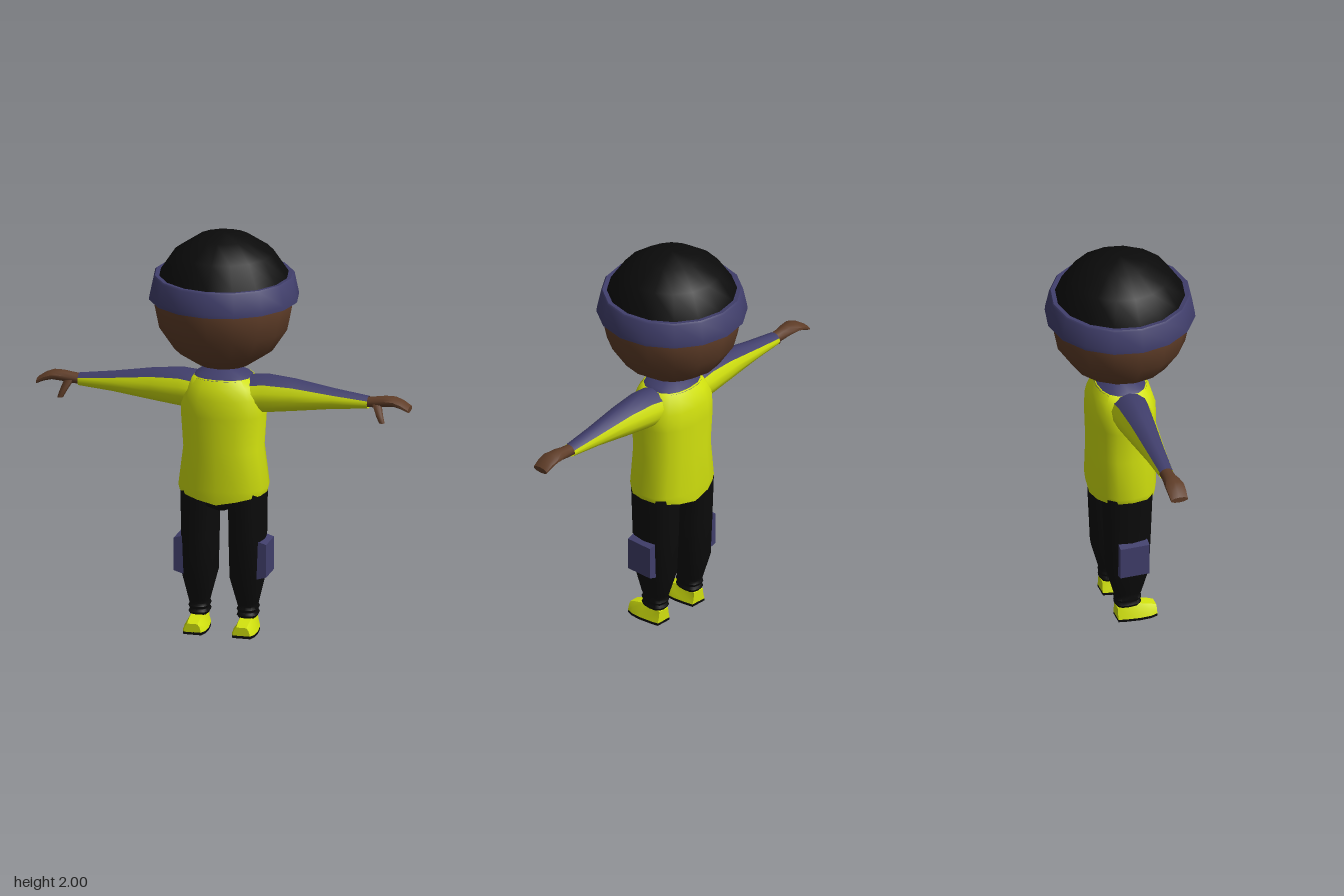
import * as THREE from 'three';
import { toCreasedNormals } from 'three/addons/utils/BufferGeometryUtils.js';

const mat = (color) => new THREE.MeshStandardMaterial({ color, side: THREE.DoubleSide });
const V = (x, y, z) => new THREE.Vector3(x, y, z);

// Skin a list of equal-sized rings; closed lofts get end caps
function loft(rings, closed = true, crease = 0.9) {
  const n = rings[0].length, pos = [], idx = [];
  rings.flat().forEach((p) => pos.push(p.x, p.y, p.z));
  for (let k = 0; k < rings.length - 1; k++) {
    for (let i = 0; i < (closed ? n : n - 1); i++) {
      const a = k * n + i, b = k * n + (i + 1) % n;
      idx.push(a, b, a + n, b, b + n, a + n);
    }
  }
  if (closed) {
    [0, rings.length - 1].forEach((k) => {
      const c = rings[k].reduce((s, p) => s.add(p), V(0, 0, 0)).divideScalar(n);
      const ci = pos.length / 3;
      pos.push(c.x, c.y, c.z);
      for (let i = 0; i < n; i++) {
        const a = k * n + i, b = k * n + (i + 1) % n;
        if (k) idx.push(a, b, ci); else idx.push(b, a, ci);
      }
    });
  }
  const g = new THREE.BufferGeometry();
  g.setAttribute('position', new THREE.Float32BufferAttribute(pos, 3));
  g.setIndex(idx);
  return toCreasedNormals(g, crease);
}

// Horizontal rounded-square ring
function ringY(y, cx, cz, rx, rz, n = 12, p = 2.4) {
  const f = (v) => Math.sign(v) * Math.abs(v) ** (2 / p);
  return Array.from({ length: n }, (_, i) => {
    const a = (i / n) * Math.PI * 2;
    return V(cx + rx * f(Math.cos(a)), y, cz - rz * f(Math.sin(a)));
  });
}

// Vertical ring (or arc) across the x axis, angle measured from the top
function arcX(x, cy, ry, rz, from, to, n) {
  return Array.from({ length: n }, (_, i) => {
    const a = from + ((to - from) * i) / (n - 1);
    return V(x, cy + ry * Math.cos(a), rz * Math.sin(a));
  });
}

// Mirror in x and restore the winding
function mirror(geo) {
  const g = geo.clone();
  for (const name of ['position', 'normal']) {
    const at = g.attributes[name];
    for (let i = 0; i < at.count; i += 3) {
      const t = [0, 2, 1].map((j) => V(0, 0, 0).fromBufferAttribute(geo.attributes[name], i + j));
      t.forEach((p, j) => at.setXYZ(i + j, -p.x, p.y, p.z));
    }
  }
  return g;
}

export function createModel() {
  const model = new THREE.Group();
  const skin = mat(0x5f3d28), black = mat(0x0b0b0b), yellow = mat(0xd2e20e), blue = mat(0x403e6b);
  const add = (name, geo, m) => {
    const mesh = new THREE.Mesh(geo, m);
    mesh.name = name;
    model.add(mesh);
    return mesh;
  };
  const pair = (name, geo, m) => {
    add('left' + name, geo, m);
    add('right' + name, mirror(geo), m);
  };

  // Head, hair cap and headband
  const split = Math.PI * 0.375;
  add('head', new THREE.SphereGeometry(0.34, 16, 5, 0, Math.PI * 2, split, Math.PI - split), skin).position.y = 1.66;
  add('hair', new THREE.SphereGeometry(0.34, 16, 3, 0, Math.PI * 2, 0, split), black).position.y = 1.66;
  const band = [[0.33, 1.675], [0.363, 1.672], [0.362, 1.69], [0.342, 1.785], [0.335, 1.793], [0.305, 1.79]];
  add('headband', toCreasedNormals(new THREE.LatheGeometry(band.map(([r, y]) => new THREE.Vector2(r, y)), 16), 0.7), blue);

  // Shirt body with a hem that dips at front and back
  const hem = (inset) => ringY(0, 0, 0, 0.215 - inset, 0.155 - inset, 16).map((p) => {
    p.y = 0.667 + 0.042 * Math.min(1, Math.abs(p.x) / (0.215 - inset));
    return p;
  });
  add('shirtBody', loft([
    hem(0.025), hem(0),
    ringY(0.735, 0, 0, 0.222, 0.16, 16), ringY(0.93, 0, 0, 0.196, 0.157, 16),
    ringY(1.1, 0, 0, 0.208, 0.162, 16), ringY(1.19, 0, 0, 0.205, 0.16, 16),
    ringY(1.25, 0, 0, 0.175, 0.142, 16), ringY(1.285, 0, 0, 0.145, 0.12, 16),
  ]), yellow);
  add('shirtYoke', loft([
    ringY(1.28, 0, 0, 0.148, 0.124, 16), ringY(1.298, 0, 0, 0.13, 0.095, 16), ringY(1.328, 0, 0, 0.04, 0.045, 16),
  ]), blue);

  // Sleeves: yellow underside and blue top stripe
  // stations: x, centre y, half height, half depth, half angle of stripe
  const sleeve = [
    [0.1, 1.2, 0.088, 0.1, 0.95], [0.21, 1.205, 0.095, 0.092, 0.9], [0.35, 1.207, 0.08, 0.076, 0.9],
    [0.55, 1.204, 0.05, 0.052, 1.0], [0.72, 1.2, 0.031, 0.036, 1.15],
  ];
  pair('Sleeve', loft(sleeve.map(([x, y, ry, rz, a]) => arcX(x, y, ry, rz, a, Math.PI * 2 - a, 11)), false), yellow);
  pair('SleeveStripe', loft(sleeve.map(([x, y, ry, rz, a]) => arcX(x, y, ry, rz, -a, a, 5)), false), blue);

  // Mitten hands, fingers curling down, with a thumb
  const hand = [
    [0.7, 1.2, 0.026, 0.032], [0.76, 1.205, 0.027, 0.034], [0.8, 1.211, 0.026, 0.041],
    [0.85, 1.213, 0.022, 0.048], [0.89, 1.2, 0.019, 0.047], [0.925, 1.18, 0.014, 0.044],
  ];
  pair('Hand', loft(hand.map(([x, y, ry, rz]) => arcX(x, y, ry, rz, 0, Math.PI * 1.8, 10))), skin);
  pair('Thumb', loft([
    ringY(1.118, 0.8, 0.055, 0.014, 0.014, 8), ringY(1.15, 0.787, 0.047, 0.018, 0.018, 8),
    ringY(1.2, 0.765, 0.018, 0.024, 0.02, 8),
  ]), skin);

  // Trousers: hips, then legs ending in gathered cuffs
  add('hips', loft([
    ringY(0.618, 0, 0, 0.035, 0.08), ringY(0.65, 0, 0, 0.15, 0.115), ringY(0.74, 0, 0, 0.2, 0.125),
  ]), black);
  // stations: y, centre x, half width, half depth
  const leg = [
    [0.075, 0.12, 0.043, 0.058], [0.09, 0.12, 0.052, 0.067], [0.104, 0.12, 0.045, 0.06],
    [0.119, 0.12, 0.052, 0.068], [0.132, 0.12, 0.046, 0.062], [0.15, 0.12, 0.05, 0.069],
    [0.28, 0.118, 0.082, 0.105], [0.48, 0.118, 0.086, 0.114], [0.72, 0.118, 0.088, 0.124],
  ];
  pair('Leg', loft(leg.map(([y, x, rx, rz]) => ringY(y, x, -0.003, rx, rz, 12, 2.8))), black);

  // Side pockets with bevelled upper and lower edges
  const pocket = new THREE.BoxGeometry(0.06, 0.2, 0.146).toNonIndexed();
  const pp = pocket.attributes.position;
  for (let i = 0; i < pp.count; i++) if (pp.getX(i) > 0) pp.setY(i, pp.getY(i) * 0.82);
  pocket.computeVertexNormals();
  pocket.translate(0.2, 0.38, 0.002);
  pair('Pocket', pocket, blue);

  // Shoes: sections along z give z, sole half width, top half width, top height
  const shoe = [
    [-0.06, 0.042, 0.03, 0.072], [-0.02, 0.05, 0.03, 0.082], [0.045, 0.058, 0.028, 0.08],
    [0.1, 0.056, 0.027, 0.066], [0.135, 0.044, 0.025, 0.054],
  ];
  pair('Shoe', loft(shoe.map(([z, b, t, h]) => [
    [-b, 0.012], [b, 0.012], [b * 0.82, 0.04], [t, h], [-t, h], [-b * 0.82, 0.04],
  ].map(([x, y]) => V(0.122 + x, y, z))), true, 0.6), yellow);
  pair('Sole', loft(shoe.map(([z, b]) => [
    [-b, 0], [b, 0], [b, 0.013], [-b, 0.013],
  ].map(([x, y]) => V(0.122 + x, y, z))), true, 0.6), black);

  return model;
}
